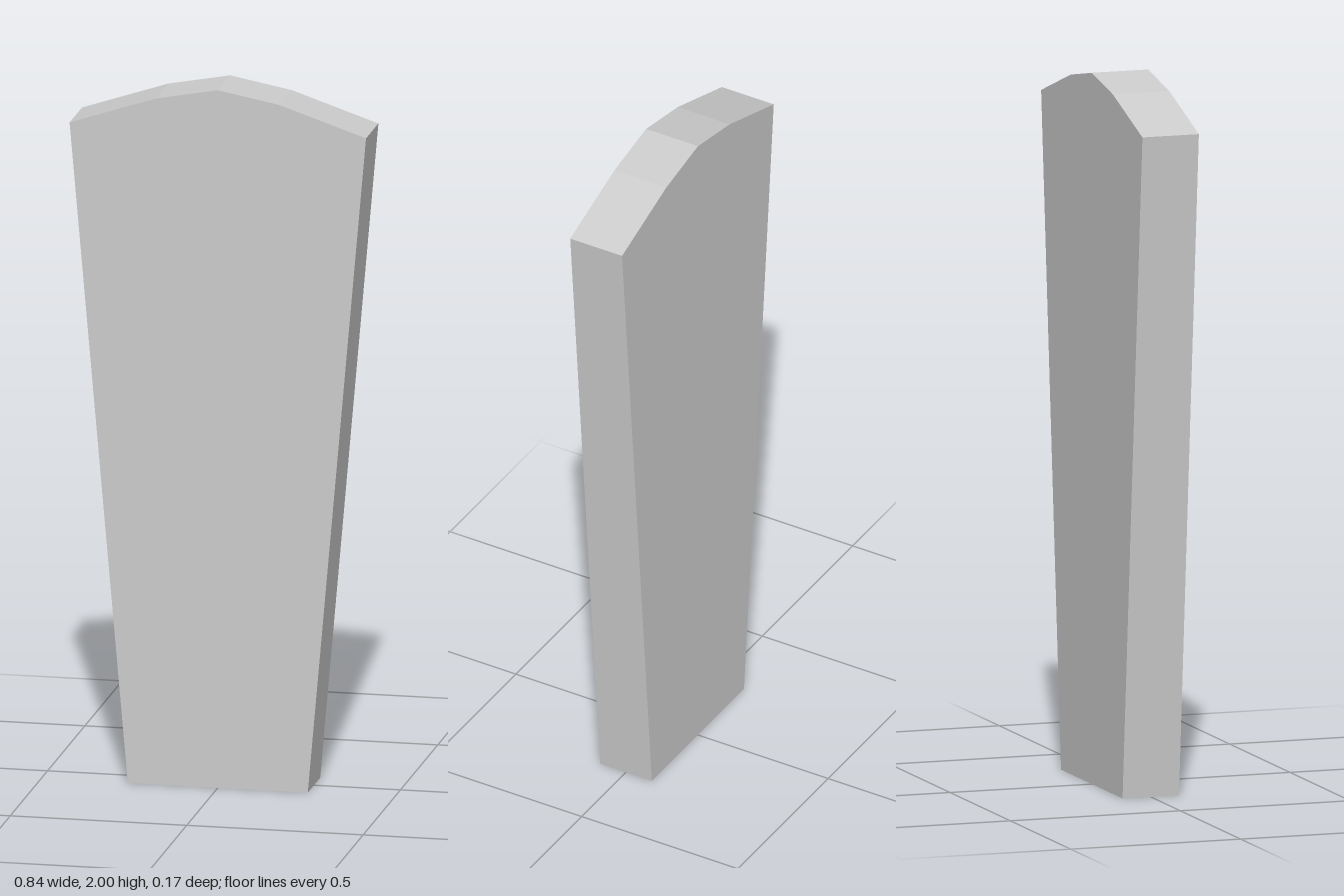
import * as THREE from 'three';

export function createModel() {
  const group = new THREE.Group();
  const depth = 0.166;

  // Right half of the tapered outline, mirrored for the other side
  const half = [[0.255, 0], [0.42, 1.885], [0.175, 1.967]];
  const mirrored = half.map(([x, y]) => [-x, y]).reverse();
  const outline = [...half, [0, 2], ...mirrored].map(([x, y]) => new THREE.Vector2(x, y));

  // Solid slab with a faceted, gently arched top
  const geometry = new THREE.ExtrudeGeometry(new THREE.Shape(outline), { depth, bevelEnabled: false });
  geometry.translate(0, 0, -depth / 2);

  const material = new THREE.MeshStandardMaterial({ color: 0xcccccc, flatShading: true });
  const slab = new THREE.Mesh(geometry, material);
  slab.name = 'taperedSlab';
  group.add(slab);
  return group;
}
